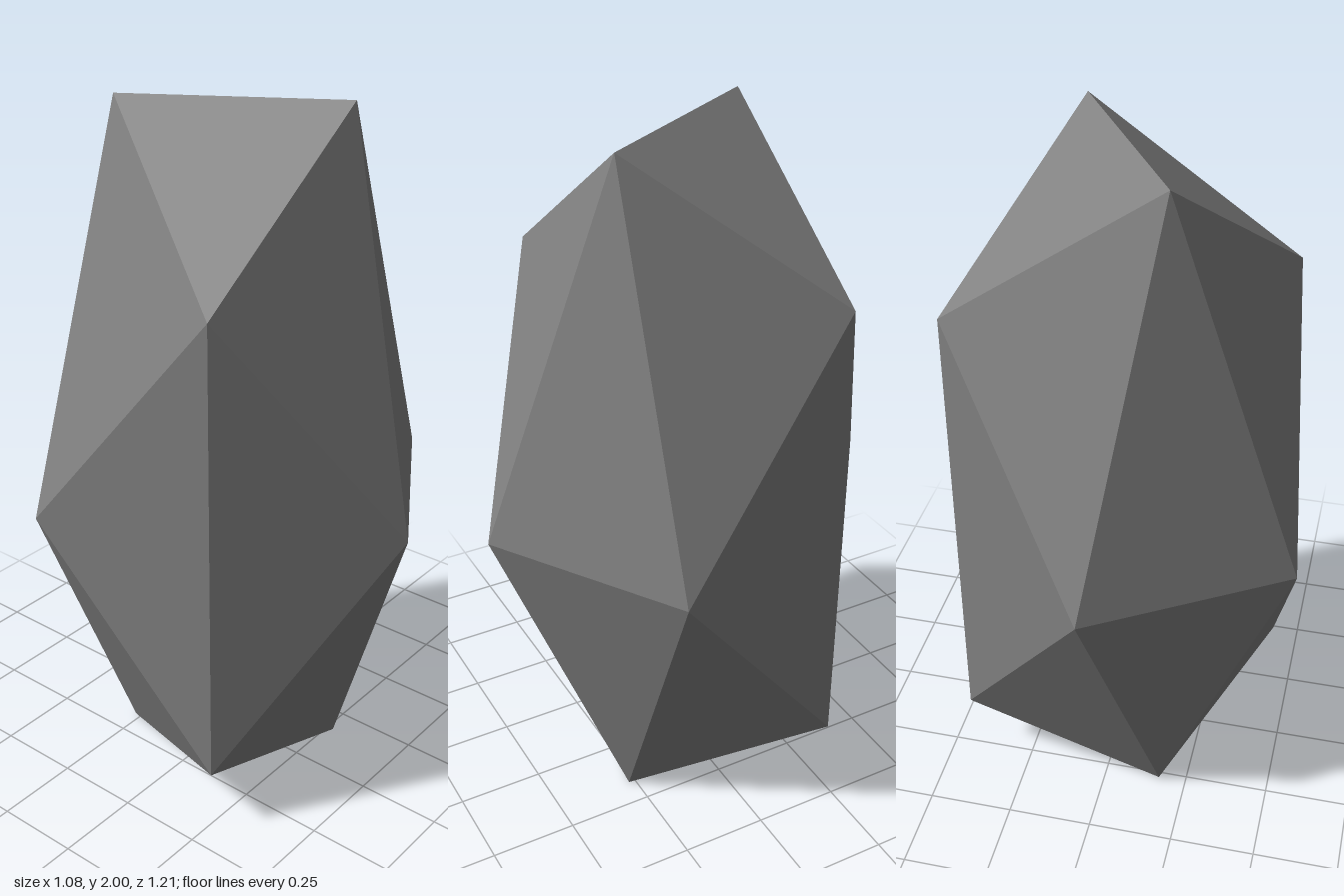
import * as THREE from 'three';

const DEPTH = 0.603;      // half depth, front tip to centre
const RING_Z = 0.27;      // depth of the two five-sided rings
const RING_X = 0.539;     // ring radius across
const RING_Y = 1.168;     // ring radius upwards (stretched)
const CENTRE_Y = 0.889;

// A corner of a ring; the lowest corners are flattened onto the ground
function corner(degrees, z) {
  const a = THREE.MathUtils.degToRad(degrees);
  const y = CENTRE_Y + RING_Y * Math.sin(a);
  return new THREE.Vector3(RING_X * Math.cos(a), Math.max(0, y), z);
}

// Tall faceted rock: front fan, zigzag band and back fan, five of each
function rockGeometry() {
  const frontTip = new THREE.Vector3(0, CENTRE_Y, DEPTH);
  const backTip = new THREE.Vector3(0, CENTRE_Y, -DEPTH);
  const points = [];
  for (let k = 0; k < 5; k++) {
    const f0 = corner(72 * k, RING_Z);
    const f1 = corner(72 * (k + 1), RING_Z);
    const b0 = corner(72 * k + 36, -RING_Z);
    const b1 = corner(72 * (k + 1) + 36, -RING_Z);
    points.push(frontTip, f0, f1);
    points.push(f0, b0, f1);
    points.push(b0, b1, f1);
    points.push(backTip, b1, b0);
  }
  const geometry = new THREE.BufferGeometry().setFromPoints(points);
  geometry.computeVertexNormals();
  return geometry;
}

export function createModel() {
  const stoneGrey = new THREE.MeshStandardMaterial({ color: 0x808080 });
  stoneGrey.name = 'stoneGrey';
  stoneGrey.flatShading = true;

  const rock = new THREE.Mesh(rockGeometry(), stoneGrey);
  rock.name = 'rock';

  const model = new THREE.Group();
  model.name = 'facetedRock';
  model.add(rock);
  return model;
}
